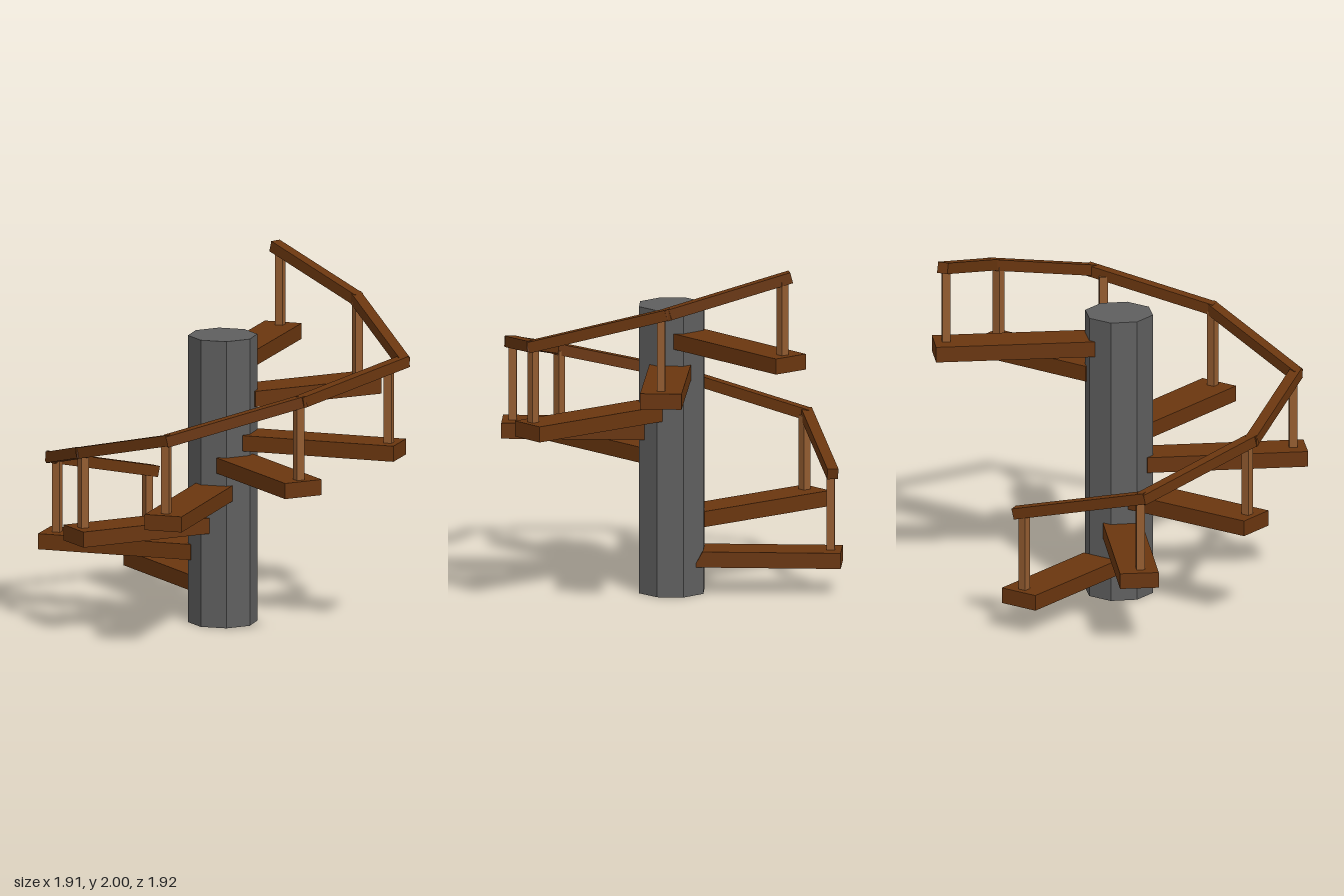
import * as THREE from 'three';

const material = (name, color) => {
  const m = new THREE.MeshStandardMaterial({ color });
  m.name = name;
  return m;
};

export function createModel() {
  const stone = material('grey pillar', 0x5f5f5f);
  const wood = material('dark wood', 0x6a360f);
  const paleWood = material('pale wood', 0x935c30);
  const model = new THREE.Group();
  model.name = 'spiralStaircase';

  const add = (name, geometry, mat, x, y, z, turn = 0) => {
    const mesh = new THREE.Mesh(geometry, mat);
    mesh.name = name;
    mesh.position.set(x, y, z);
    mesh.rotation.y = turn;
    model.add(mesh);
    return mesh;
  };

  // Octagonal central pillar with its flats facing the axes
  const pillarGeo = new THREE.CylinderGeometry(0.197, 0.197, 1.655, 8).toNonIndexed();
  pillarGeo.computeVertexNormals();
  add('pillar', pillarGeo, stone, 0.003, 0.8275, 0, Math.PI / 8);

  // Climbing order: tread outer end [x, z], inner radius, base height,
  // post [x, z, top], handrail corner [x, y, z]
  const steps = [
    { end: [0.005, -0.962], inner: 0.13, y: 0.16, post: [0.01, -0.9, 0.69], rail: [0.05, 0.7, -0.91] },
    { end: [-0.715, -0.79], inner: 0.15, y: 0.365, post: [-0.67, -0.72, 0.88], rail: [-0.7, 0.885, -0.73] },
    { end: [-0.957, 0], inner: 0.145, y: 0.542, post: [-0.895, 0, 1.06], rail: [-0.915, 1.07, 0.02] },
    { end: [-0.775, 0.725], inner: 0.145, y: 0.73, post: [-0.725, 0.67, 1.23], rail: [-0.725, 1.245, 0.7] },
    { end: [0, 0.96], inner: 0.15, y: 0.893, post: [0.002, 0.9, 1.42], rail: [0.02, 1.435, 0.91] },
    { end: [0.715, 0.785], inner: 0.16, y: 1.015, post: [0.662, 0.753, 1.54], rail: [0.755, 1.562, 0.755] },
    { end: [0.955, 0.018], inner: 0.15, y: 1.245, post: [0.86, 0.02, 1.76], rail: [0.872, 1.778, -0.02] },
    { end: [0.78, -0.71], inner: 0.15, y: 1.432, post: [0.732, -0.66, 1.945], rail: [0.725, 1.965, -0.69] },
  ];
  const thick = 0.09;

  steps.forEach(({ end, inner, y, post }, i) => {
    const [ex, ez] = end;
    const radius = Math.hypot(ex, ez);
    const turn = Math.atan2(ex, ez);
    const length = radius - inner;
    const mid = (radius + inner) / 2 / radius;

    // Tread
    const tread = new THREE.BoxGeometry(i % 2 ? 0.22 : 0.235, thick, length);
    if (i === 0) {
      // The lowest tread has a slanted inner end
      const p = tread.attributes.position;
      for (let v = 0; v < p.count; v++) {
        if (p.getZ(v) < 0 && p.getY(v) > 0) p.setZ(v, p.getZ(v) + 0.05);
      }
      const slanted = tread.toNonIndexed();
      slanted.computeVertexNormals();
      add('tread', slanted, wood, ex * mid, y + thick / 2, ez * mid, turn);
    } else {
      add('tread', tread, wood, ex * mid, y + thick / 2, ez * mid, turn);
    }

    // Post standing on the tread
    const [px, pz, top] = post;
    const base = y + thick - 0.01;
    add('post', new THREE.BoxGeometry(0.047, top - base, 0.047), paleWood,
      px, (top + base) / 2, pz, turn);
  });

  // Handrail beams from corner to corner, slightly overlapping
  for (let i = 0; i < steps.length - 1; i++) {
    const a = new THREE.Vector3(...steps[i].rail);
    const b = new THREE.Vector3(...steps[i + 1].rail);
    const c = a.clone().add(b).multiplyScalar(0.5);
    const beam = add('handrail', new THREE.BoxGeometry(0.063, 0.063, a.distanceTo(b) + 0.035),
      wood, c.x, c.y, c.z);
    beam.lookAt(b);
  }
  return model;
}
